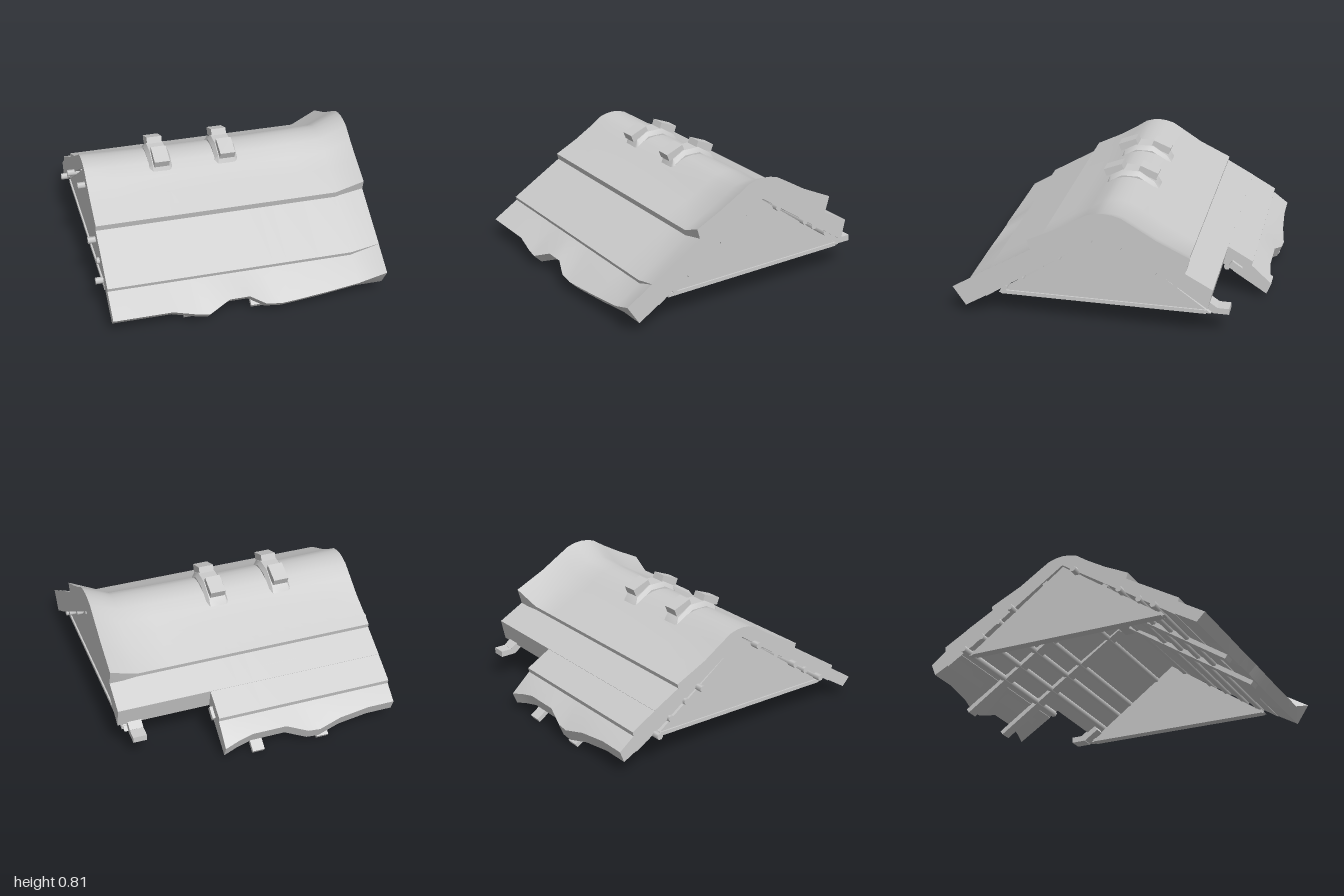
import * as THREE from 'three';
import { toCreasedNormals } from 'three/addons/utils/BufferGeometryUtils.js';

const SLOPE = 0.68;
const innerY = z => 0.645 - SLOPE * Math.abs(z);
const XS = [-0.88, -0.7, -0.5, -0.35, -0.27, -0.13, 0, 0.1, 0.2, 0.29, 0.5, 0.72, 0.9];
// how far the ragged eaves hang down the slope, one value per station in XS
const FRONT_WAVE = [0, 0, 0, 0.03, 0.04, -0.02, -0.02, 0.03, 0.04, 0.035, 0.02, 0, 0];
const BACK_WAVE = [0, 0, 0.02, 0.055, 0.05, 0, 0, 0, 0.02, 0.045];

// closed solid from (z, y) outlines at stations along x
function loft(xs, outline) {
  const sections = xs.map((x, i) => outline(x, i).map(([z, y]) => new THREE.Vector3(x, y, z)));
  const n = sections[0].length, pos = [];
  const tri = (...pts) => pts.forEach(p => pos.push(p.x, p.y, p.z));
  for (let i = 0; i < xs.length - 1; i++) {
    for (let j = 0; j < n; j++) {
      const k = (j + 1) % n, s = sections[i], t = sections[i + 1];
      tri(s[j], s[k], t[k]);
      tri(s[j], t[k], t[j]);
    }
  }
  const cap = (s, flip) => {
    const flat = s.map(p => new THREE.Vector2(-p.z, p.y));
    for (const [a, b, c] of THREE.ShapeUtils.triangulateShape(flat, [])) {
      if (flip) tri(s[a], s[c], s[b]); else tri(s[a], s[b], s[c]);
    }
  };
  cap(sections[0], true);
  cap(sections[xs.length - 1], false);
  const g = new THREE.BufferGeometry();
  g.setAttribute('position', new THREE.Float32BufferAttribute(pos, 3));
  return toCreasedNormals(g, 0.5);
}

export function createModel() {
  const roof = new THREE.Group();
  roof.name = 'roof';
  const grey = new THREE.MeshStandardMaterial({ color: 0xcccccc });
  grey.name = 'grey';

  const add = (name, geometry, x = 0, y = 0, z = 0, rx = 0, rz = 0) => {
    const m = new THREE.Mesh(geometry, grey);
    m.name = name;
    m.position.set(x, y, z);
    m.rotation.set(rx, 0, rz);
    roof.add(m);
    return m;
  };

  // one covering layer: outer points flare upward at the +x end, eave points follow a wave
  const layer = (name, xs, outer, inner, flare = 0, wave = null) =>
    add(name, loft(xs, (x, i) => {
      const f = Math.max(0, (x - 0.72) / 0.18) * flare;
      const w = wave ? wave[i] : 0;
      const move = ([z, y], lift) => {
        const s = Math.sign(z);
        const hang = Math.abs(z) > 0.88 ? w : 0;
        const sag = Math.abs(z) < 0.2 ? 0.018 * (x * x - 0.4) : 0;
        return [z + s * (0.4 * lift * Math.min(1, Math.abs(z) * 3) + hang * 0.7), y + lift + sag - hang];
      };
      return [...outer.map(p => move(p, f)), ...inner.map(p => move(p, 0))];
    }));

  layer('ridgeLayer', XS,
    [[-0.51, 0.46], [-0.3, 0.56], [-0.18, 0.63], [-0.1, 0.68], [-0.05, 0.695], [0, 0.7], [0.05, 0.695],
      [0.1, 0.68], [0.18, 0.625], [0.3, 0.56], [0.46, 0.48]],
    [[0.43, 0.355], [0, 0.635], [-0.48, 0.32]], 0.075);
  layer('frontMiddleLayer', XS, [[0.35, 0.5], [0.8, 0.23]], [[0.77, 0.125], [0.35, 0.41]], 0.05);
  layer('frontEaveLayer', XS, [[0.68, 0.275], [0.79, 0.208], [0.965, 0.1]],
    [[0.91, 0.045], [0.68, 0.185]], 0.07, FRONT_WAVE);
  // the back is cut away at the +x corner
  const cutXS = XS.filter(x => x < 0.3);
  layer('backMiddleLayer', XS, [[-0.685, 0.335], [-0.38, 0.5]], [[-0.38, 0.39], [-0.655, 0.2]]);
  layer('backLowerLayer', cutXS, [[-0.85, 0.24], [-0.6, 0.381]], [[-0.6, 0.24], [-0.82, 0.1]]);
  layer('backEaveLayer', cutXS, [[-0.945, 0.135], [-0.84, 0.215], [-0.72, 0.285]],
    [[-0.72, 0.16], [-0.915, 0.06]], 0, BACK_WAVE);

  // gable panels and their tie beams
  const gable = new THREE.Shape([[0.67, 0.15], [0, 0.635], [-0.7, 0.14]].map(p => new THREE.Vector2(...p)));
  for (const x of [-0.86, 0.83]) {
    const g = add('gable', new THREE.ExtrudeGeometry(gable, { depth: 0.04, bevelEnabled: false }), x);
    g.rotation.y = -Math.PI / 2;
    g.scale.x = -1; // front foot is the longer one
    g.geometry.scale(-1, 1, 1);
    g.scale.x = 1;
    const idx = g.geometry.attributes.position;
    // restore the corner order after mirroring
    for (let i = 0; i < idx.count; i += 3) {
      const b = new THREE.Vector3().fromBufferAttribute(idx, i + 1);
      const c = new THREE.Vector3().fromBufferAttribute(idx, i + 2);
      idx.setXYZ(i + 1, c.x, c.y, c.z);
      idx.setXYZ(i + 2, b.x, b.y, b.z);
    }
    g.geometry.computeVertexNormals();
    g.position.x = x + 0.03;
    add('tieBeam', new THREE.BoxGeometry(0.06, 0.025, 1.32), x + 0.01, 0.157, 0.02, 0.007);
  }

  // poles along the roof: [z, start x, end x]
  const poles = [
    [0.1, -0.93, 0.89], [0.3, -0.87, 0.9], [0.42, -0.93, 0.86], [0.54, -0.9, 0.9], [0.65, -0.93, 0.9],
    [-0.13, -0.87, 0.9], [-0.35, -0.93, 0.9], [-0.45, -0.9, 0.87], [-0.57, -0.9, 0.85], [-0.68, -0.93, 0.28],
  ];
  for (const [z, a, b] of poles) {
    add('pole', new THREE.CylinderGeometry(0.022, 0.022, b - a, 6).toNonIndexed(),
      (a + b) / 2, innerY(z) - 0.005, z, 0, Math.PI / 2);
  }

  // rafters under both slopes, with saddles and stubs over the ridge
  const angle = Math.atan(SLOPE);
  const saddleOutline = [[-0.2, 0.6], [-0.16, 0.665], [-0.06, 0.73], [0.06, 0.73], [0.14, 0.685], [0.17, 0.6]];
  for (const x of [-0.38, 0.06]) {
    for (const s of [1, -1]) {
      add('rafter', new THREE.BoxGeometry(0.08, 0.03, s > 0 ? 1.05 : 1.09),
        x, innerY(0.47) - 0.02 - (s < 0 ? 0.01 : 0), s * (s > 0 ? 0.475 : 0.5), s * angle);
      add('ridgeStub', new THREE.BoxGeometry(0.1, 0.05, 0.13), x, 0.722, s * 0.115, s * 0.38);
    }
    add('saddle', loft([x - 0.075, x - 0.055, x + 0.055, x + 0.075], (px, i) =>
      saddleOutline.map(([z, y]) => (i % 3 ? [z, y] : [z * 0.95, y - (y > 0.61 ? 0.03 : 0)]))));
  }

  // short support feet by the cut corner
  add('cornerFoot', new THREE.BoxGeometry(0.09, 0.04, 0.1), 0.79, 0.16, -0.73);
  add('cornerFootBeam', new THREE.BoxGeometry(0.09, 0.05, 0.12), 0.79, 0.195, -0.64, -angle);
  add('cutEdgePeg', new THREE.BoxGeometry(0.03, 0.04, 0.08), 0.295, 0.2, -0.74, -angle);
  return roof;
}
